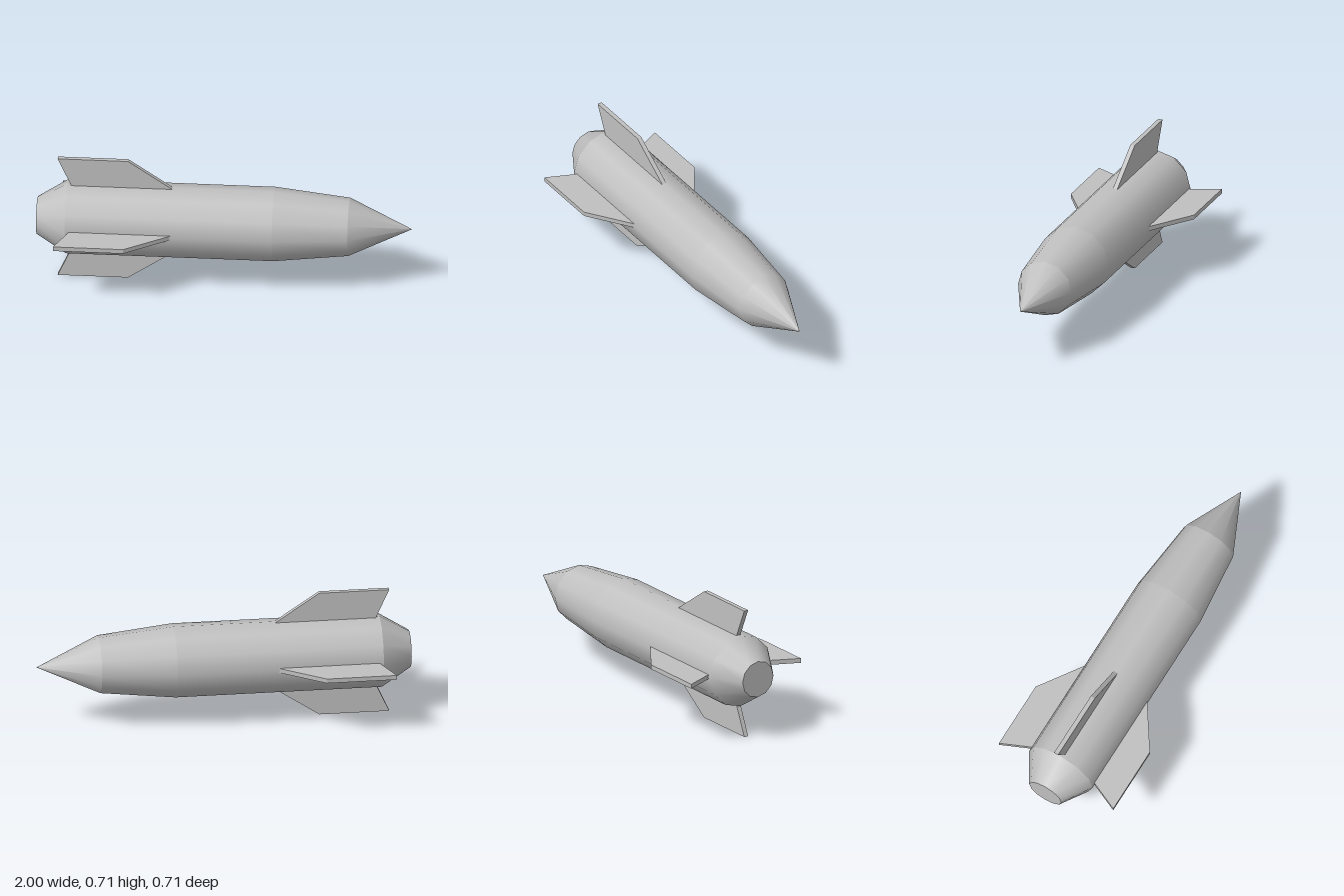
import * as THREE from 'three';

export function createModel() {
  const model = new THREE.Group();
  const grey = new THREE.MeshStandardMaterial({ color: 0xc0c0c0 });
  grey.name = 'light grey';

  // everything is built around the long x axis, then lifted to height
  const rocket = new THREE.Group();
  rocket.name = 'rocket';
  rocket.position.y = 0.356;
  model.add(rocket);

  // twelve-sided body sections, smooth around, with hard rings between them
  const section = (name, x0, r0, x1, r1) => {
    const geometry = new THREE.CylinderGeometry(r1, r0, x1 - x0, 12, 1, true);
    geometry.rotateZ(-Math.PI / 2);
    geometry.translate((x0 + x1) / 2, 0, 0);
    const mesh = new THREE.Mesh(geometry, grey);
    mesh.name = name;
    rocket.add(mesh);
  };
  section('tailCone', -1, 0.1, -0.84, 0.198);
  section('mainBody', -0.84, 0.198, 0.265, 0.198);
  section('shoulder', 0.265, 0.198, 0.665, 0.155);
  section('noseCone', 0.665, 0.155, 1, 0);

  // flat disc closing the tail
  const cap = new THREE.Mesh(new THREE.CircleGeometry(0.1, 12), grey);
  cap.name = 'tailCap';
  cap.rotation.y = -Math.PI / 2;
  cap.position.x = -1;
  rocket.add(cap);

  // four swept fins, rooted slightly inside the body
  const thickness = 0.025;
  const outline = [[-0.814, 0.186], [-0.265, 0.186], [-0.515, 0.356], [-0.89, 0.356]];
  const finShape = new THREE.Shape(outline.map(([x, y]) => new THREE.Vector2(x, y)));
  const finGeometry = new THREE.ExtrudeGeometry(finShape, { depth: thickness, bevelEnabled: false });
  finGeometry.translate(0, 0, -thickness / 2);
  ['topFin', 'frontFin', 'bottomFin', 'backFin'].forEach((name, i) => {
    const fin = new THREE.Mesh(finGeometry, grey);
    fin.name = name;
    fin.rotation.x = (i * Math.PI) / 2;
    rocket.add(fin);
  });

  return model;
}
